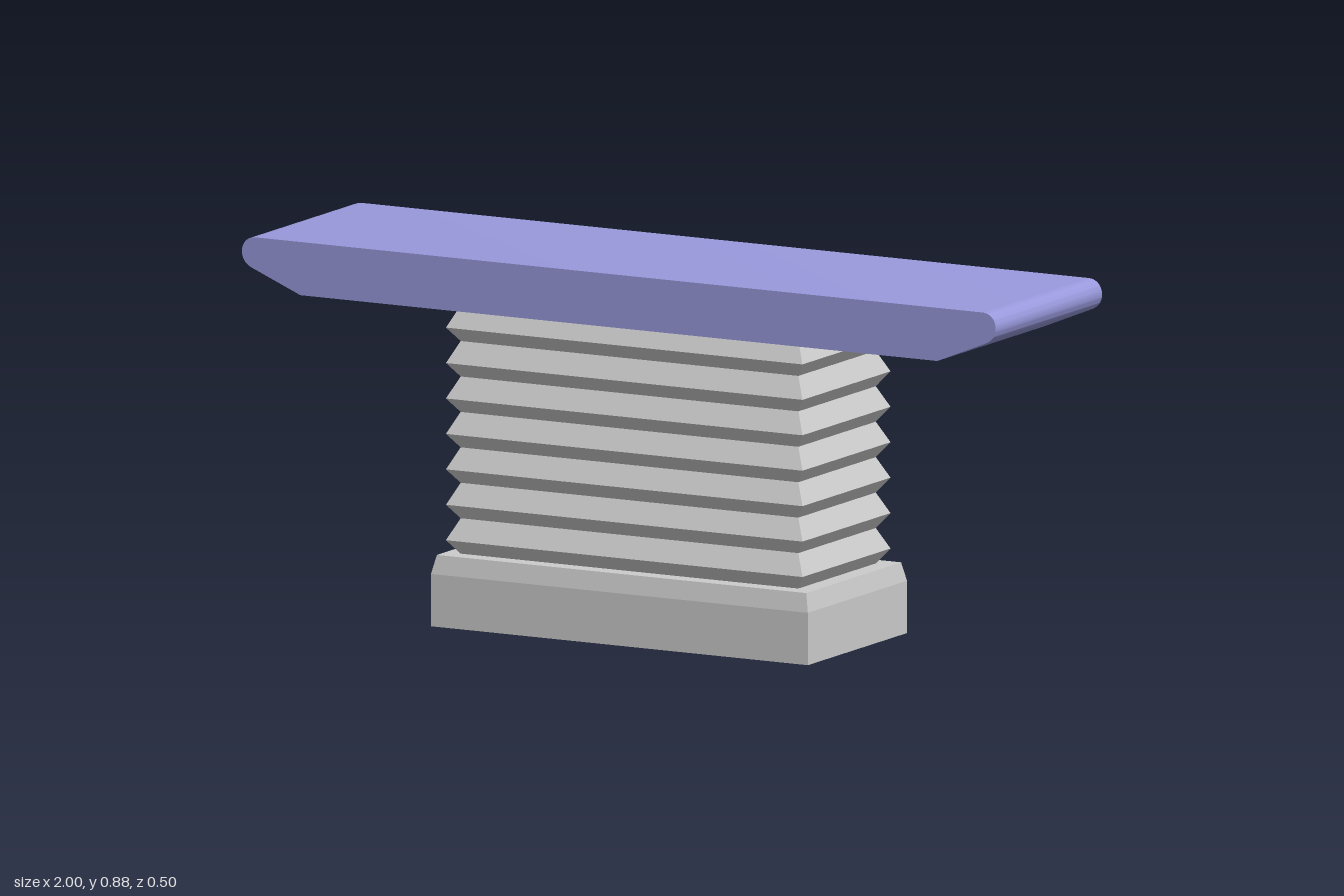
import * as THREE from 'three';
import { toCreasedNormals } from 'three/addons/utils/BufferGeometryUtils.js';

const grey = new THREE.MeshStandardMaterial({ color: 0xcccccc, flatShading: true });
const violet = new THREE.MeshStandardMaterial({ color: 0x9999dd });

// Closed solid through rectangular sections [y, halfWidth, halfDepth], listed upwards
function rectLoft(sections) {
  const pos = [];
  const ring = ([y, w, d]) => [[-w, y, d], [w, y, d], [w, y, -d], [-w, y, -d]];
  const quad = (a, b, c, d) => pos.push(...a, ...b, ...c, ...a, ...c, ...d);
  const rings = sections.map(ring);
  for (let i = 0; i < rings.length - 1; i++) {
    for (let k = 0; k < 4; k++) {
      const n = (k + 1) % 4;
      quad(rings[i][k], rings[i][n], rings[i + 1][n], rings[i + 1][k]);
    }
  }
  quad(...rings[rings.length - 1]);
  quad(...[...rings[0]].reverse());
  const geometry = new THREE.BufferGeometry();
  geometry.setAttribute('position', new THREE.Float32BufferAttribute(pos, 3));
  geometry.computeVertexNormals();
  return geometry;
}

export function createModel() {
  const group = new THREE.Group();
  const add = (name, geometry, material, x = 0) => {
    const mesh = new THREE.Mesh(geometry, material);
    mesh.name = name;
    mesh.position.x = x;
    group.add(mesh);
  };

  // Base box with a bevelled top edge
  add('base', rectLoft([[0, 0.5, 0.233], [0.123, 0.5, 0.233], [0.167, 0.49, 0.223]]), grey, -0.008);

  // Folding bellows: seven pleats, each a short flare and a longer taper
  const folds = 7, bottom = 0.167, pitch = (0.75 - bottom) / folds;
  const pleats = [[bottom, 0.448, 0.182]];
  for (let i = 0; i < folds; i++) {
    pleats.push([bottom + (i + 0.4) * pitch, 0.473, 0.207]);
    pleats.push([bottom + (i + 1) * pitch, 0.448, 0.182]);
  }
  add('bellows', rectLoft(pleats), grey, -0.01);

  // Table top: rounded ends, undersides sloping in to the flat bottom
  const s = new THREE.Shape();
  s.moveTo(-0.845, 0.75);
  s.lineTo(0.845, 0.75);
  s.lineTo(0.974, 0.803);
  s.bezierCurveTo(0.99, 0.81, 1, 0.822, 1, 0.84);
  s.bezierCurveTo(1, 0.86, 0.985, 0.875, 0.965, 0.875);
  s.lineTo(-0.965, 0.875);
  s.bezierCurveTo(-0.985, 0.875, -1, 0.86, -1, 0.84);
  s.bezierCurveTo(-1, 0.822, -0.99, 0.81, -0.974, 0.803);
  s.closePath();
  const top = new THREE.ExtrudeGeometry(s, { depth: 0.5, bevelEnabled: false, curveSegments: 10 });
  top.translate(0, 0, -0.25);
  add('tableTop', toCreasedNormals(top, 0.35), violet);

  return group;
}
